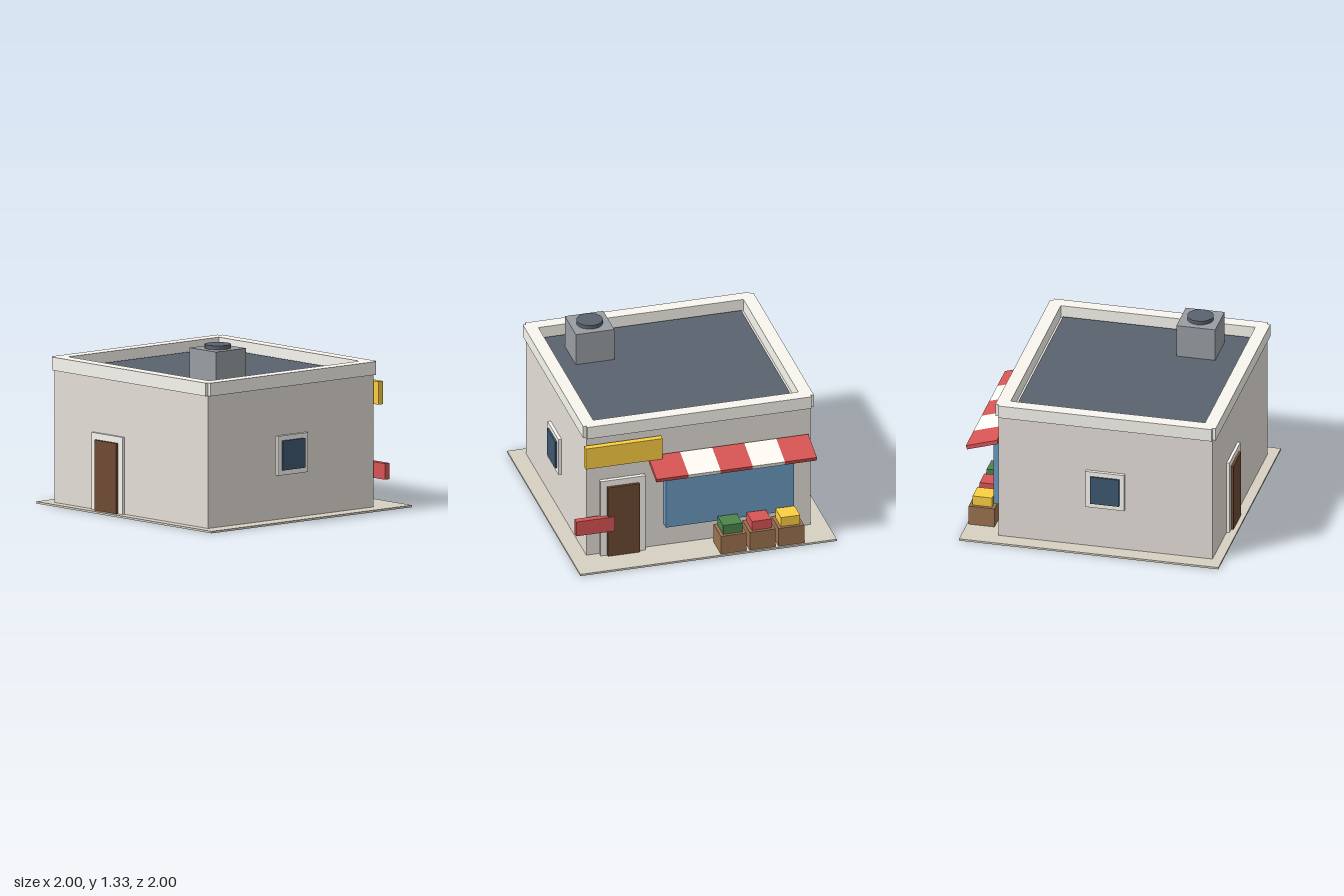
import * as THREE from 'three';

const material = (color) => new THREE.MeshStandardMaterial({ color });
const MAT = {
  ground: material(0xd6d1c2), wall: material(0xe4ded7), trim: material(0xf8f6ee),
  roof: material(0x5a626e), metal: material(0x999da2), door: material(0x6e4a34),
  glass: material(0x3f5870), display: material(0x6b9ac2), yellow: material(0xfbcf42),
  red: material(0xd85454), white: material(0xfffcf5), green: material(0x4d864d),
  crate: material(0x9c724f),
};

// Box given by its extents along each axis
function block(parent, name, mat, [x0, x1], [y0, y1], [z0, z1]) {
  const mesh = new THREE.Mesh(new THREE.BoxGeometry(x1 - x0, y1 - y0, z1 - z0), mat);
  mesh.position.set((x0 + x1) / 2, (y0 + y1) / 2, (z0 + z1) / 2);
  mesh.name = name;
  parent.add(mesh);
}

function subgroup(parent, name) {
  const group = new THREE.Group();
  group.name = name;
  parent.add(group);
  return group;
}

// Door leaf standing proud of a wider frame
function addDoor(parent, name, x, top, frameZ, leafZ) {
  const door = subgroup(parent, name);
  block(door, 'doorFrame', MAT.trim, [x - 0.175, x + 0.175], [0.015, top + 0.05], frameZ);
  block(door, 'doorLeaf', MAT.door, [x - 0.124, x + 0.124], [0.015, top], leafZ);
}

export function createModel() {
  const model = new THREE.Group();
  model.name = 'cornerShop';

  block(model, 'pavement', MAT.ground, [-1, 1], [0, 0.015], [-1, 1]);

  // Solid body with a roof slab set inside the parapet
  block(model, 'walls', MAT.wall, [-0.875, 0.875], [0.015, 1.02], [-0.725, 0.925]);
  block(model, 'roof', MAT.roof, [-0.775, 0.775], [1.02, 1.043], [-0.627, 0.825]);

  // Parapet with small notches at the corners
  const parapet = subgroup(model, 'parapet');
  block(parapet, 'frontParapet', MAT.trim, [-0.875, 0.875], [1.02, 1.12], [0.85, 0.95]);
  block(parapet, 'backParapet', MAT.trim, [-0.875, 0.875], [1.02, 1.12], [-0.75, -0.65]);
  block(parapet, 'rightParapet', MAT.trim, [-0.9, -0.8], [1.02, 1.12], [-0.725, 0.925]);
  block(parapet, 'leftParapet', MAT.trim, [0.8, 0.9], [1.02, 1.12], [-0.725, 0.925]);

  // Rooftop cooling unit
  const cooler = subgroup(model, 'coolingUnit');
  block(cooler, 'coolerHousing', MAT.metal, [0.35, 0.65], [1.04, 1.3], [0.35, 0.65]);
  const fan = new THREE.Mesh(new THREE.CylinderGeometry(0.1, 0.1, 0.03, 16), MAT.roof);
  fan.name = 'fanCap';
  fan.position.set(0.5, 1.315, 0.5);
  cooler.add(fan);

  // Side windows, mirrored
  for (const [name, s] of [['leftWindow', 1], ['rightWindow', -1]]) {
    const win = subgroup(model, name);
    const span = (a, b) => (s > 0 ? [a, b] : [-b, -a]);
    block(win, 'windowFrame', MAT.trim, span(0.875, 0.9), [0.35, 0.65], [-0.05, 0.25]);
    block(win, 'windowGlass', MAT.glass, span(0.897, 0.914), [0.388, 0.613], [-0.012, 0.212]);
  }

  addDoor(model, 'frontDoor', -0.25, 0.55, [0.925, 0.947], [0.945, 0.965]);
  addDoor(model, 'backDoor', 0.6, 0.6, [-0.767, -0.735], [-0.788, -0.76]);

  // Shop display window on the back
  block(model, 'displayWindow', MAT.display, [-0.725, 0.275], [0.2, 0.75], [-0.8, -0.735]);

  // Striped awning sloping away from the wall
  const awning = subgroup(model, 'awning');
  awning.position.set(-0.225, 0.75, -0.86);
  awning.rotation.x = -0.3;
  for (let i = 0; i < 5; i++) {
    const x = -0.625 + i * 0.25;
    block(awning, 'awningStripe', i % 2 ? MAT.white : MAT.red, [x, x + 0.25], [-0.016, 0.016], [-0.125, 0.125]);
  }

  // Signs
  block(model, 'longSign', MAT.yellow, [0.3, 0.9], [0.79, 0.965], [-0.798, -0.75]);
  block(model, 'smallSign', MAT.red, [0.672, 0.975], [0.23, 0.352], [-0.798, -0.75]);

  // Crates of produce
  [MAT.green, MAT.red, MAT.yellow].forEach((mat, i) => {
    const x = -0.2 - i * 0.225;
    const stand = subgroup(model, 'produceStand');
    block(stand, 'crate', MAT.crate, [x - 0.1, x + 0.1], [0.015, 0.167], [-0.987, -0.787]);
    block(stand, 'produce', mat, [x - 0.075, x + 0.075], [0.167, 0.243], [-0.962, -0.812]);
  });

  return model;
}
